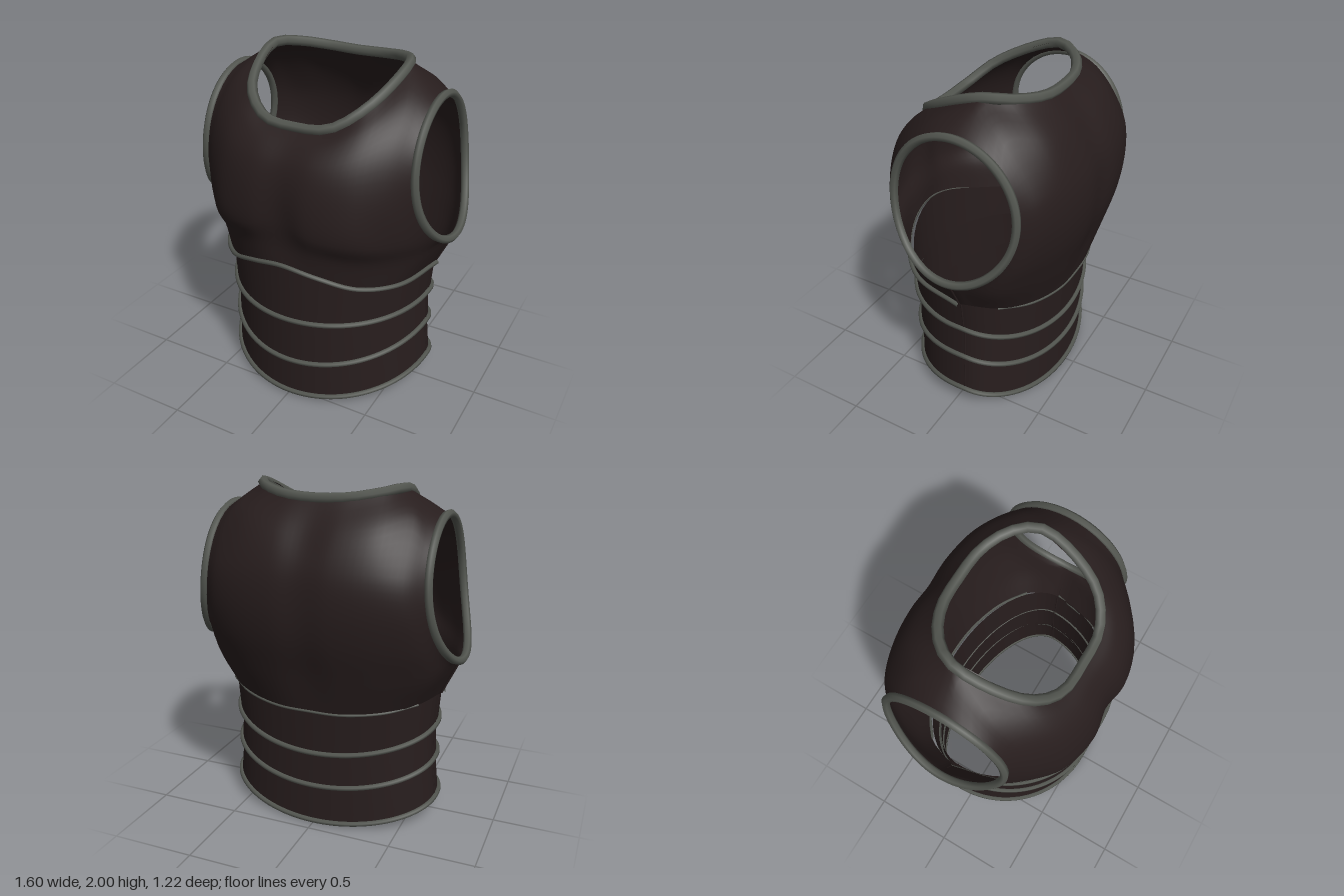
import * as THREE from 'three';
import { mergeGeometries, mergeVertices } from 'three/addons/utils/BufferGeometryUtils.js';

const V = (x, y, z) => new THREE.Vector3(x, y, z);
const SEAM_Z = -0.07;

// Control rows from hem to collar; each runs from the centre line towards the arm.
// The armhole edge itself is added by a rule.
const FRONT = [
  [[0, 0.94, 0.573], [0.2, 0.903, 0.545], [0.4, 0.833, 0.443], [0.57, 0.81, 0.255]],
  [[0, 1.06, 0.57], [0.2, 1.04, 0.567], [0.42, 1.0, 0.468], [0.62, 0.97, 0.25]],
  [[0, 1.22, 0.585], [0.18, 1.17, 0.608], [0.41, 1.14, 0.545], [0.59, 1.11, 0.37]],
  [[0, 1.4, 0.58], [0.18, 1.37, 0.6], [0.39, 1.35, 0.545], [0.54, 1.33, 0.44]],
  [[0, 1.53, 0.545], [0.18, 1.53, 0.553], [0.37, 1.56, 0.495], [0.53, 1.61, 0.37]],
  [[0, 1.62, 0.48], [0.19, 1.63, 0.48], [0.39, 1.72, 0.37], [0.53, 1.82, 0.17]],
  [[0, 1.69, 0.395], [0.2, 1.71, 0.38], [0.36, 1.82, 0.255], [0.43, 1.97, -0.09]],
];
const BACK = [
  [[0, 0.75, -0.475], [0.2, 0.75, -0.46], [0.42, 0.77, -0.386], [0.58, 0.8, -0.265]],
  [[0, 0.97, -0.523], [0.2, 0.97, -0.525], [0.45, 0.97, -0.458], [0.65, 0.98, -0.32]],
  [[0, 1.2, -0.582], [0.17, 1.2, -0.588], [0.42, 1.18, -0.538], [0.61, 1.15, -0.435]],
  [[0, 1.4, -0.594], [0.17, 1.4, -0.604], [0.4, 1.39, -0.568], [0.56, 1.37, -0.505]],
  [[0, 1.58, -0.568], [0.17, 1.58, -0.576], [0.38, 1.58, -0.545], [0.54, 1.57, -0.484]],
  [[0, 1.75, -0.478], [0.18, 1.77, -0.48], [0.38, 1.8, -0.425], [0.53, 1.83, -0.3]],
  [[0, 1.925, -0.337], [0.19, 1.935, -0.32], [0.35, 1.96, -0.23], [0.43, 1.97, -0.09]],
];
const ARM_ANGLES = [0, 0.666, 1.355, 1.861, 2.33, Math.PI];

// Armhole edge: an ellipse from the side, leaning outwards under the arm
function armPoint(phi, dir) {
  const y = 1.435 - 0.4 * Math.cos(phi);
  const x = 0.634 + 0.13 * Math.pow((1.835 - y) / 0.8, 3);
  return V(x, y, -0.055 + dir * 0.37 * Math.sin(phi));
}

// Side edge of a chest panel: side seam first, then half of the armhole
function sideEdge(t, dir) {
  const r = t * 6;
  if (r < 1) return V(0.66, 0.81, SEAM_Z).lerp(armPoint(0, dir), r);
  const i = Math.min(4, Math.floor(r - 1));
  return armPoint(THREE.MathUtils.lerp(ARM_ANGLES[i], ARM_ANGLES[i + 1], r - 1 - i), dir);
}

// Smooth row across the body, from one side edge to the other
function rowCurve(half) {
  const other = half.slice(1).reverse().map(p => V(-p.x, p.y, p.z));
  return new THREE.CatmullRomCurve3([...other, ...half]);
}

// Grid surface from a function of (u, v)
function grid(fn, nu, nv) {
  const pos = [], idx = [];
  for (let j = 0; j <= nv; j++) for (let i = 0; i <= nu; i++) pos.push(...fn(i / nu, j / nv).toArray());
  for (let j = 0; j < nv; j++) for (let i = 0; i < nu; i++) {
    const a = j * (nu + 1) + i, c = a + nu + 1;
    idx.push(a, a + 1, c + 1, a, c + 1, c);
  }
  const g = new THREE.BufferGeometry();
  g.setAttribute('position', new THREE.Float32BufferAttribute(pos, 3));
  g.setIndex(idx);
  return g;
}

function chestPanel(rows, dir) {
  const columns = [0, 1, 2, 3].map(c => new THREE.CatmullRomCurve3(rows.map(r => V(...r[c]))));
  const cache = new Map();
  return grid((u, v) => {
    if (!cache.has(v)) {
      const half = [...columns.map(c => c.getPoint(v)), sideEdge(v, dir)];
      cache.set(v, { half, curve: rowCurve(half) });
    }
    const { half, curve } = cache.get(v);
    const s = (dir > 0 ? u : 1 - u) * 8 - 4;
    // straight shoulder seam, shared by front and back
    if (v === 1 && Math.abs(s) > 3) {
      const p = half[3].clone().lerp(half[4], Math.abs(s) - 3);
      p.x *= Math.sign(s);
      return p;
    }
    return curve.getPoint((s + 4) / 8);
  }, 40, 30);
}

// Oval waist outline: half width a, front f, back b, heights at front, side and back.
// Exponent e shapes how the edge rises from the side to the middle; out widens it.
function ring(l, th, out = 0) {
  const w = Math.abs(Math.cos(th)), isFront = Math.cos(th) > 0;
  const [yf, ys, yb] = l.y;
  return V(
    (l.a + out) * Math.sin(th),
    ys + ((isFront ? yf : yb) - ys) * Math.pow(w, isFront ? l.e : 1.5),
    SEAM_Z + w * (isFront ? l.f + out - SEAM_Z : l.b - out - SEAM_Z));
}

const BANDS = [
  { name: 'upperWaistBand',
    top: { a: 0.648, f: 0.555, b: -0.45, y: [0.95, 0.83, 0.78], e: 7 },
    low: { a: 0.63, f: 0.556, b: -0.438, y: [0.568, 0.605, 0.475], e: 1 } },
  { name: 'middleWaistBand',
    top: { a: 0.61, f: 0.542, b: -0.423, y: [0.61, 0.645, 0.515], e: 1 },
    low: { a: 0.628, f: 0.545, b: -0.433, y: [0.268, 0.385, 0.26], e: 1.5 } },
  { name: 'lowerWaistBand',
    top: { a: 0.617, f: 0.528, b: -0.416, y: [0.305, 0.425, 0.3], e: 1.5 },
    low: { a: 0.646, f: 0.534, b: -0.428, y: [0.02, 0.137, 0.02], e: 1.4 } },
];

export function createModel() {
  const leather = new THREE.MeshStandardMaterial({ color: 0x271d1d, side: THREE.DoubleSide });
  leather.name = 'dark leather';
  const metal = new THREE.MeshStandardMaterial({ color: 0x535650 });
  metal.name = 'grey trim';

  const model = new THREE.Group();
  model.name = 'cuirass';
  const add = (name, geo, mat) => {
    const m = new THREE.Mesh(geo, mat);
    m.name = name;
    model.add(m);
  };
  const tube = (name, pts, r, closed, mat = metal) => add(name,
    new THREE.TubeGeometry(new THREE.CatmullRomCurve3(pts, closed), Math.max(8, pts.length * 3), r, 6, closed), mat);

  // Chest and back in one smooth shell
  const shell = mergeVertices(mergeGeometries([chestPanel(FRONT, 1), chestPanel(BACK, -1)]), 1e-4);
  shell.computeVertexNormals();
  add('chestShell', shell, leather);

  // Waist bands, flaring to a trimmed lower edge
  for (const { name, top, low } of BANDS) {
    const g = mergeVertices(grid((u, v) => {
      const th = u * Math.PI * 2;
      return ring(low, th).lerp(ring(top, th), 1 - Math.pow(1 - v, 1.5));
    }, 64, 6), 1e-4);
    g.computeVertexNormals();
    add(name, g, leather);
    const edge = Array.from({ length: 40 }, (_, i) => ring(low, i / 40 * Math.PI * 2, 0.006));
    tube(name + 'Trim', edge, 0.016, true);
  }

  // Lower edges of chest and back plates, lying just outside the shell
  const hem = (rows, k) => rows[0].map(([x, y, z]) => V(x * k, y, z * k));
  tube('chestHemTrim', rowCurve([...hem(FRONT, 1.018), V(0.671, 0.81, SEAM_Z)]).getPoints(32), 0.014, false);
  tube('backHemTrim', rowCurve(hem(BACK, 1.0)).getPoints(24), 0.009, false);

  // Collar
  const front = FRONT[6].map(p => V(...p)), back = BACK[6].map(p => V(...p));
  const flip = p => V(-p.x, p.y, p.z);
  tube('collarTrim', [
    ...front, back[2], back[1], back[0], flip(back[1]), flip(back[2]),
    flip(front[3]), flip(front[2]), flip(front[1]),
  ], 0.03, true);

  // Armhole rims and side seams
  for (const side of [1, -1]) {
    const label = side > 0 ? 'left' : 'right';
    const place = p => V(p.x * side, p.y, p.z);
    const rim = Array.from({ length: 28 }, (_, i) => {
      const p = armPoint(i / 28 * Math.PI * 2, 1);
      p.x += 0.012;
      return place(p);
    });
    tube(label + 'ArmholeTrim', rim, 0.024, true);
    const seam = [V(0.757, 1.01, SEAM_Z), V(0.662, 0.81, SEAM_Z)];
    tube(label + 'ChestSeam', seam.map(place), 0.005, false, leather);
    for (const { name, top, low } of BANDS) {
      const ends = [V(top.a, top.y[1], SEAM_Z), V(low.a, low.y[1], SEAM_Z)];
      tube(label + name + 'Seam', ends.map(place), 0.005, false, leather);
    }
  }
  return model;
}
